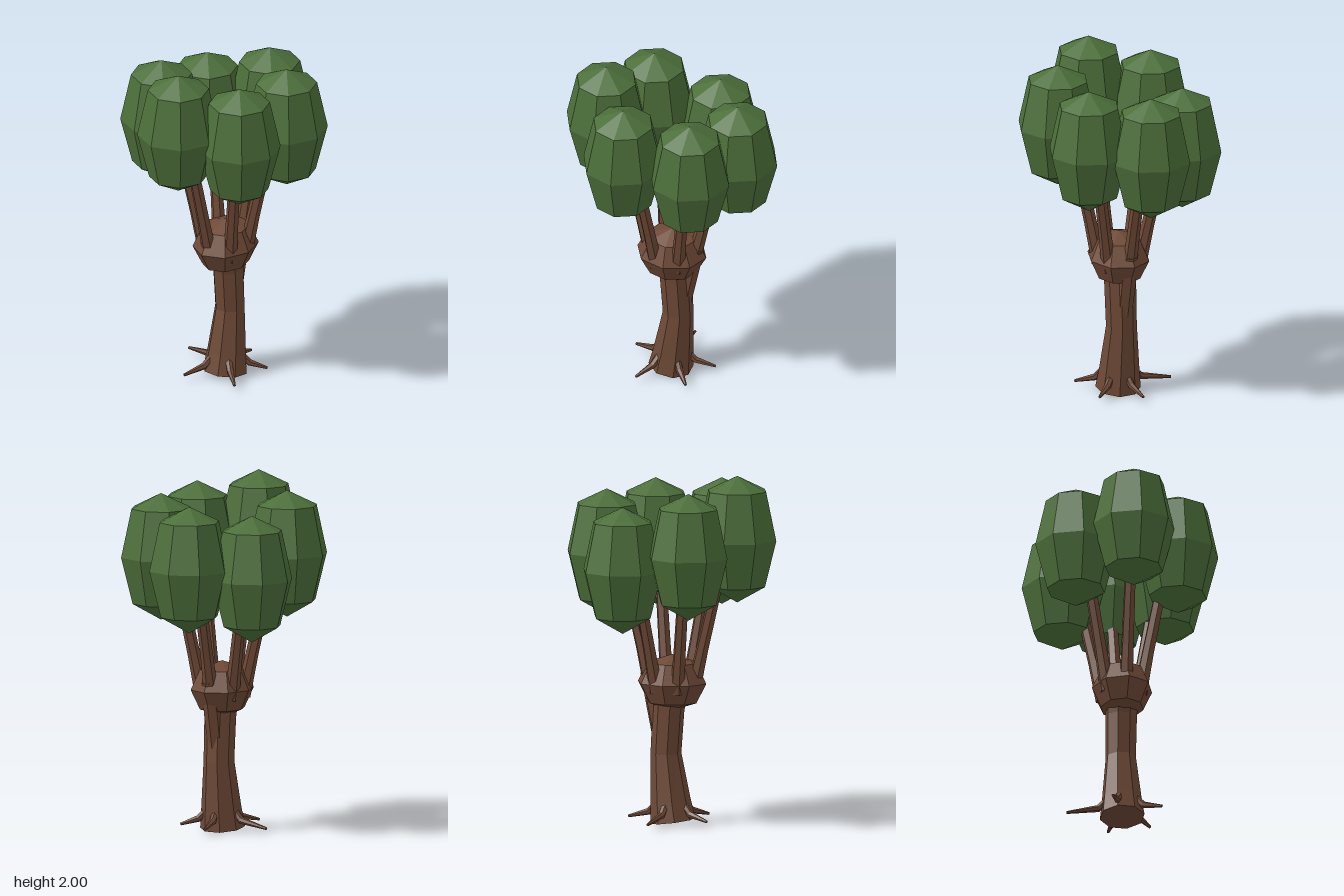
import * as THREE from 'three';

const bark = new THREE.MeshStandardMaterial({ color: 0x6e4936 });
bark.name = 'bark';
const leaf = new THREE.MeshStandardMaterial({ color: 0x4c6f3a });
leaf.name = 'leaf';

const V = (x, y, z) => new THREE.Vector3(x, y, z);

// Faceted normals
function faceted(geo) {
  const g = geo.index ? geo.toNonIndexed() : geo;
  g.computeVertexNormals();
  return g;
}

function part(parent, name, geo, material) {
  const mesh = new THREE.Mesh(faceted(geo), material);
  mesh.name = name;
  parent.add(mesh);
  return mesh;
}

// Capped, tapering tube through a list of points, one radius per point
function limbGeometry(points, radii, sides) {
  const pos = [], index = [], up = V(0, 1, 0);
  points.forEach((p, i) => {
    const dir = points[Math.min(i + 1, points.length - 1)].clone()
      .sub(points[Math.max(i - 1, 0)]).normalize();
    const q = new THREE.Quaternion().setFromUnitVectors(up, dir);
    for (let j = 0; j < sides; j++) {
      const a = ((j + 0.5) / sides) * Math.PI * 2;
      const v = V(Math.sin(a) * radii[i], 0, Math.cos(a) * radii[i]).applyQuaternion(q).add(p);
      pos.push(v.x, v.y, v.z);
    }
  });
  const last = (points.length - 1) * sides;
  for (let j = 0; j < sides; j++) {
    const k = (j + 1) % sides;
    for (let i = 0; i < last; i += sides) {
      index.push(i + j, i + k, i + sides + k, i + j, i + sides + k, i + sides + j);
    }
    if (j > 0 && j < sides - 1) {
      index.push(0, k, j, last, last + j, last + k);
    }
  }
  const g = new THREE.BufferGeometry();
  g.setAttribute('position', new THREE.Float32BufferAttribute(pos, 3));
  g.setIndex(index);
  return g;
}

export function createModel() {
  const tree = new THREE.Group();
  tree.name = 'tree';

  // Leaning trunk
  part(tree, 'trunk', limbGeometry(
    [V(-0.005, 0.017, 0), V(0.01, 0.13, 0), V(0.037, 0.4, 0), V(0.022, 0.65, 0), V(0, 0.82, 0)],
    [0.128, 0.114, 0.087, 0.09, 0.1], 8), bark);

  // Swollen knot where the limbs divide
  const knot = part(tree, 'knot', new THREE.SphereGeometry(1, 8, 4), bark);
  knot.scale.set(0.203, 0.16, 0.172);
  knot.position.y = 0.805;

  // Side limb growing out of the trunk below the knot
  part(tree, 'sideLimb', limbGeometry(
    [V(0.06, 0.43, 0), V(0.105, 0.68, 0), V(0.15, 0.86, 0)],
    [0.045, 0.05, 0.04], 6), bark);

  // Roots: bent spikes that flatten out at the tips
  const roots = new THREE.Group();
  roots.name = 'roots';
  tree.add(roots);
  for (const [x, z] of [[-0.15, 0.2], [0.14, 0.19], [0.25, -0.03], [0.04, -0.31], [-0.24, -0.1]]) {
    const len = Math.hypot(x, z), dx = x / len, dz = z / len;
    part(roots, 'root', limbGeometry(
      [V(dx * 0.08, 0.12, dz * 0.08), V(dx * 0.135, 0.066, dz * 0.135), V(x, 0.036, z)],
      [0.022, 0.02, 0.008], 6), bark);
  }

  // Six crowns, each on its own limb
  const crownProfile = [[0, -0.36], [0.165, -0.265], [0.232, 0], [0.172, 0.275], [0, 0.36]]
    .map(([r, y]) => new THREE.Vector2(r, y));
  const crowns = [
    [-0.39, 1.64, -0.01], [0.385, 1.53, -0.01],
    [-0.2, 1.58, 0.28], [0.195, 1.56, 0.285],
    [-0.2, 1.57, -0.305], [0.19, 1.475, -0.305],
  ];
  for (const [x, y, z] of crowns) {
    const branch = new THREE.Group();
    branch.name = 'branch';
    tree.add(branch);
    const at = (f, h) => V(x * f, h, z * f);
    part(branch, 'limb', limbGeometry(
      [at(0.32, 0.76), at(0.46, 1.0), at(0.62, 1.26), at(0.72, 1.42)],
      [0.042, 0.036, 0.034, 0.03], 6), bark);
    part(branch, 'crown', new THREE.LatheGeometry(crownProfile, 8), leaf).position.set(x, y, z);
  }

  return tree;
}
